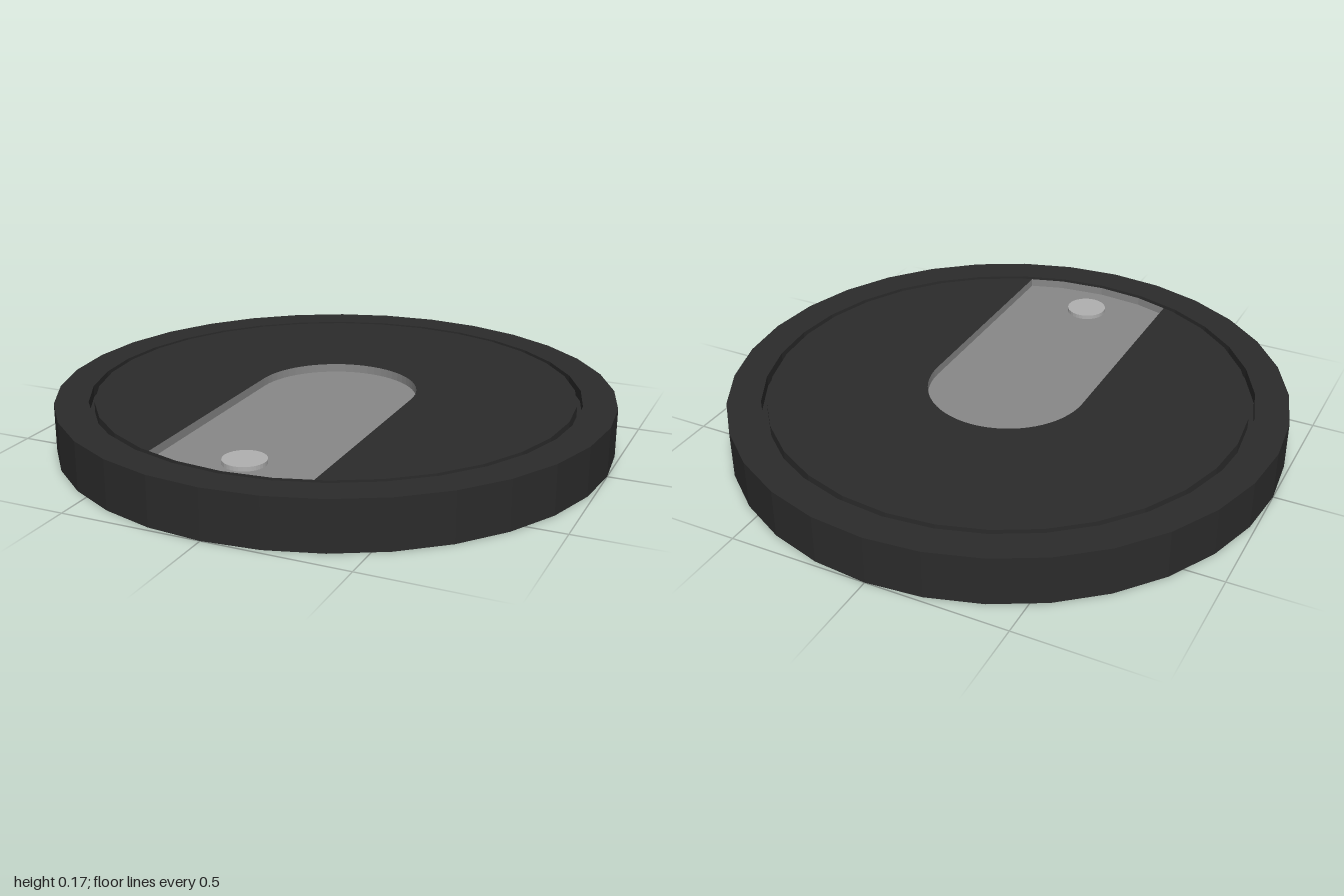
import * as THREE from 'three';

const SIDES = 32, TOP = 0.175, FLOOR = 0.145, GROOVE = 0.135;
const R_OUT = 1, R_GROOVE = 0.88, R_DISC = 0.86, SLOT = 0.29;

const mat = (color) => new THREE.MeshStandardMaterial({ color, flatShading: true });

// point on the faceted disc edge; angle 0 faces the front, y of the shape is -z
const edge = (i) => {
  const a = (i / SIDES) * Math.PI * 2;
  return new THREE.Vector2(Math.sin(a) * R_DISC, -Math.cos(a) * R_DISC);
};

// horizontal face lying at a given height
function flatFace(points, y) {
  return new THREE.ShapeGeometry(new THREE.Shape(points)).rotateX(-Math.PI / 2).translate(0, y, 0);
}

// upright wall facing the inside of a counter-clockwise outline
function innerWall(points, y0, y1) {
  const pos = [];
  points.forEach((p, i) => {
    const q = points[(i + 1) % points.length];
    const a = [p.x, y0, -p.y], b = [q.x, y0, -q.y];
    const c = [q.x, y1, -q.y], d = [p.x, y1, -p.y];
    pos.push(...a, ...c, ...b, ...a, ...d, ...c);
  });
  const g = new THREE.BufferGeometry();
  g.setAttribute('position', new THREE.Float32BufferAttribute(pos, 3));
  g.computeVertexNormals();
  return g;
}

export function createModel() {
  const group = new THREE.Group();
  const dark = mat(0x2b2b2b), grey = mat(0x888888), light = mat(0xb0b0b0);
  const add = (name, geometry, material) => {
    const mesh = new THREE.Mesh(geometry, material);
    mesh.name = name;
    group.add(mesh);
  };

  // body with underside, rim and narrow ring groove
  const profile = [[0, 0], [R_OUT, 0], [R_OUT, TOP], [R_GROOVE, TOP],
    [R_GROOVE, GROOVE], [R_DISC, GROOVE], [R_DISC, TOP]].map(([x, y]) => new THREE.Vector2(x, y));
  add('body', new THREE.LatheGeometry(profile, SIDES), dark);

  // corners where the slot sides meet the disc edge
  const e1 = edge(1), e2 = edge(2);
  const t = (SLOT - e1.x) / (e2.x - e1.x);
  const right = e1.clone().lerp(e2, t);
  const left = new THREE.Vector2(-right.x, right.y);

  // rounded inner end of the slot, from +x round the back to -x
  const arc = [];
  for (let i = 0; i <= 32; i++) {
    const a = (i / 32) * Math.PI;
    arc.push(new THREE.Vector2(Math.cos(a) * SLOT, Math.sin(a) * SLOT));
  }

  // disc top, cut by the slot
  const rim = [];
  for (let i = 2; i <= SIDES - 2; i++) rim.push(edge(i));
  add('discTop', flatFace([right, ...rim, left, ...arc.slice().reverse()], TOP), dark);

  // recessed slot
  const slot = [right, ...arc, left, edge(-1), edge(0), edge(1)];
  add('slotFloor', flatFace(slot, FLOOR), grey);
  add('slotWall', innerWall(slot, FLOOR, TOP), grey);

  // round button near the front of the slot
  const button = new THREE.CylinderGeometry(0.074, 0.074, 0.015, 32);
  add('button', button.translate(0, FLOOR + 0.0075, 0.705), light);

  return group;
}
